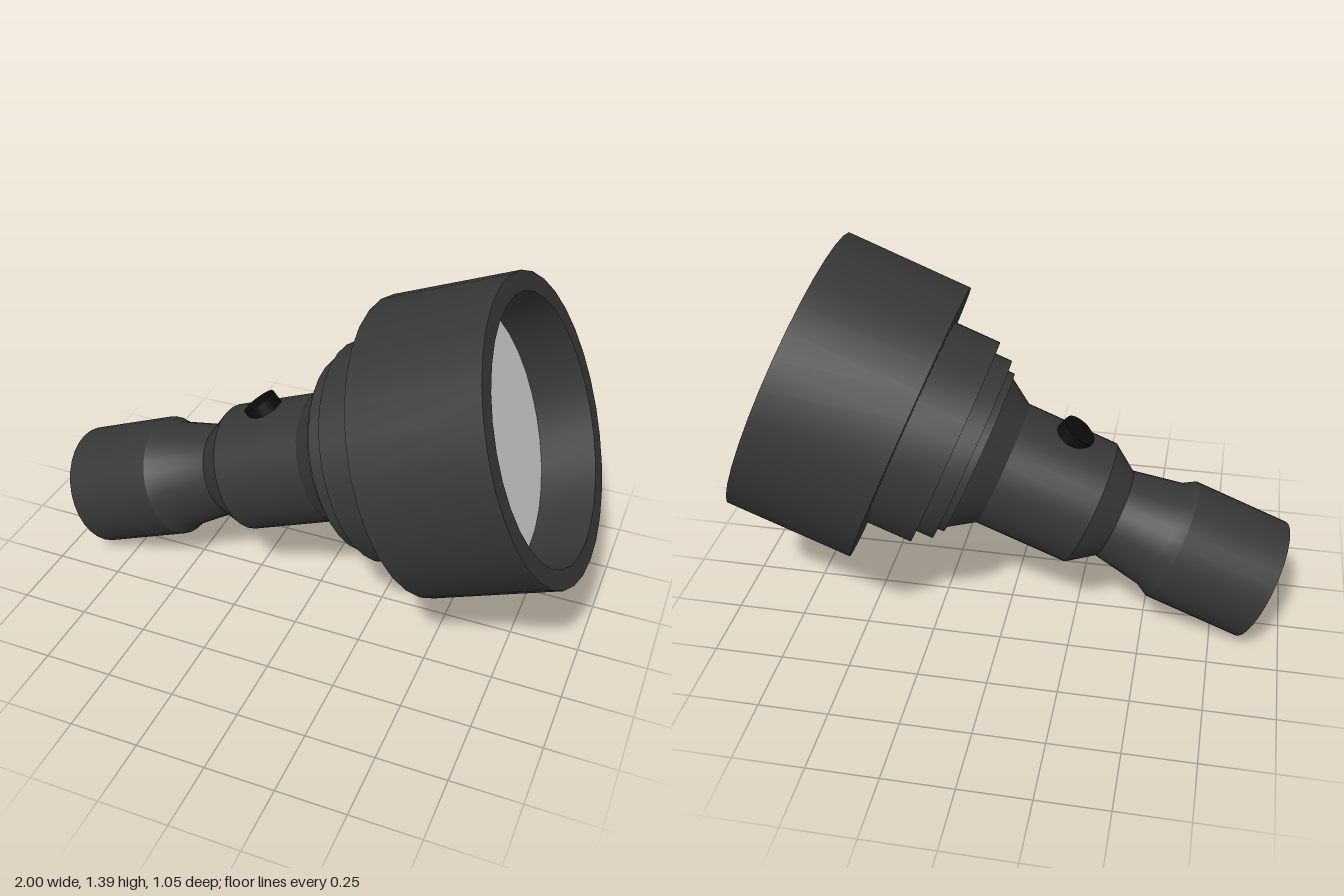
import * as THREE from 'three';
import { toCreasedNormals } from 'three/addons/utils/BufferGeometryUtils.js';

const SIDES = 32;
const TILT = THREE.MathUtils.degToRad(22.15); // rise of the torch axis

const bodyMaterial = new THREE.MeshStandardMaterial({ color: 0x373737 });
const buttonMaterial = new THREE.MeshStandardMaterial({ color: 0x0c0c0c });
const lensMaterial = new THREE.MeshStandardMaterial({ color: 0xcccccc });

// Turned part from [radius, distance along the axis] pairs, sharp at its steps
function turned(name, profile) {
  const points = profile.map(([r, t]) => new THREE.Vector2(r, t));
  const geometry = toCreasedNormals(new THREE.LatheGeometry(points, SIDES), 0.4);
  const mesh = new THREE.Mesh(geometry, bodyMaterial);
  mesh.name = name;
  return mesh;
}

export function createModel() {
  const model = new THREE.Group();
  model.name = 'flashlight';

  // Body is built along +y from the tail end, then tipped towards +x
  const body = new THREE.Group();
  body.name = 'body';
  body.position.set(-0.914, 0.21, 0);
  body.rotation.z = TILT - Math.PI / 2;
  model.add(body);

  body.add(
    // Closed tail, grip and narrowing waist
    turned('grip', [[0, 0], [0.226, 0], [0.226, 0.357], [0.2, 0.402], [0.167, 0.586]]),
    // Switch section with flares at both ends
    turned('barrel', [[0.167, 0.586], [0.233, 0.681], [0.233, 1.026], [0.294, 1.119]]),
    // Stepped rings behind the head
    turned('collar', [
      [0.294, 1.119], [0.31, 1.119], [0.31, 1.147], [0.348, 1.147],
      [0.348, 1.212], [0.391, 1.212], [0.391, 1.386],
    ]),
    // Wide head with a hollow front
    turned('head', [[0.391, 1.386], [0.525, 1.386], [0.525, 1.85], [0.457, 1.85], [0.449, 1.65]]),
  );

  // Lens recessed in the head
  const lens = new THREE.Mesh(new THREE.CircleGeometry(0.45, SIDES), lensMaterial);
  lens.name = 'lens';
  lens.rotation.x = -Math.PI / 2;
  lens.position.y = 1.65;
  body.add(lens);

  // Slanted push button, mostly sunk in the barrel
  const button = new THREE.Group();
  button.name = 'button';
  button.position.set(-0.24, 0.765, 0);
  button.rotation.z = THREE.MathUtils.degToRad(38.5);
  const cap = new THREE.Mesh(new THREE.CylinderGeometry(0.064, 0.064, 0.16, SIDES), buttonMaterial);
  cap.name = 'buttonCap';
  cap.position.y = -0.08;
  button.add(cap);
  model.add(button);

  return model;
}
